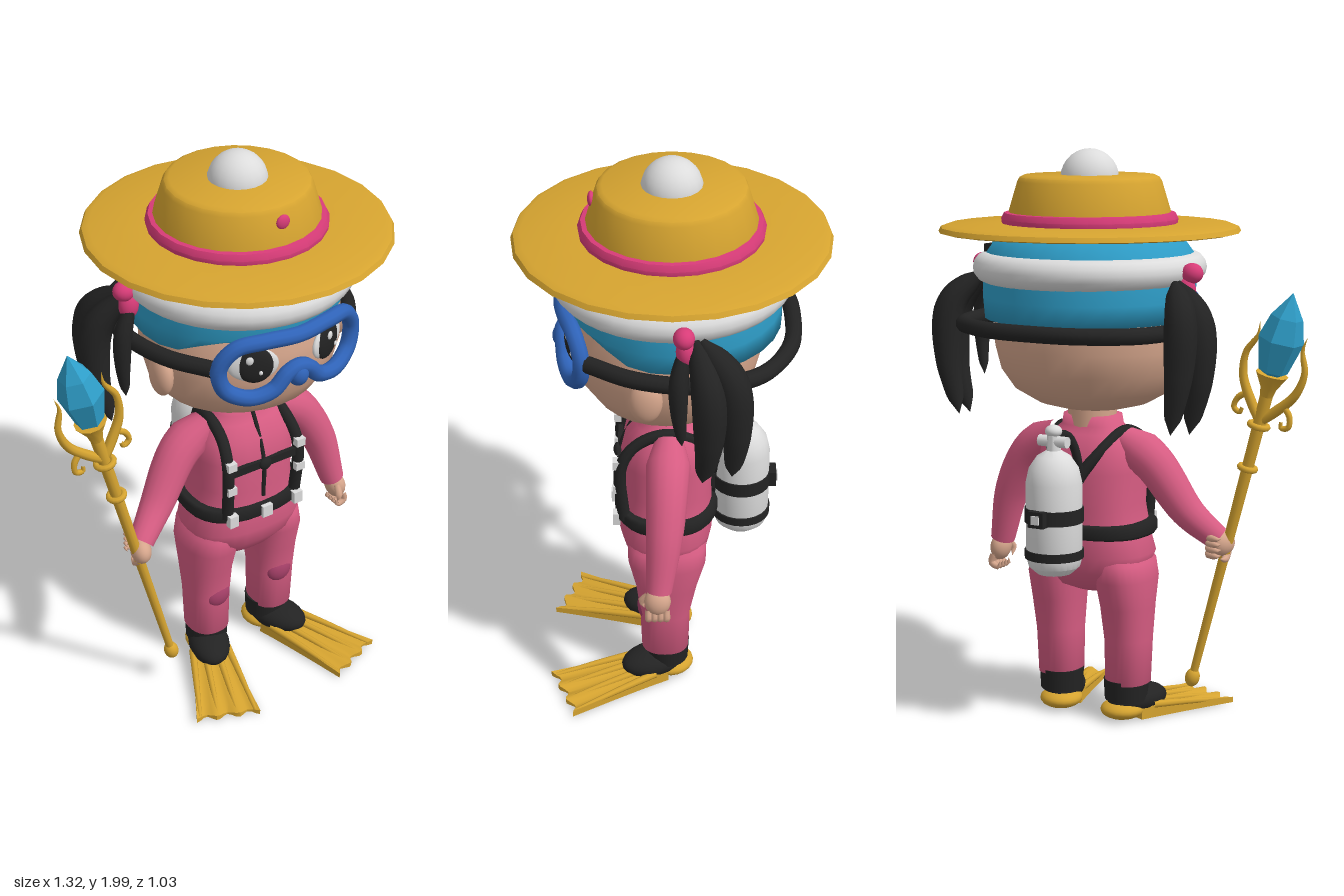
import * as THREE from 'three';
import { toCreasedNormals } from 'three/addons/utils/BufferGeometryUtils.js';

const V = (x, y, z) => new THREE.Vector3(x, y, z);
const mat = (name, color) => Object.assign(new THREE.MeshStandardMaterial({ color }), { name });

// Closed loft from rings [y, rx, rz, cx, cz], listed bottom to top; n squares the section
function loft(rings, n = 2, segs = 28) {
  const pos = [], idx = [];
  const all = [[rings[0][0], 0, 0, ...rings[0].slice(3)], ...rings, [rings.at(-1)[0], 0, 0, ...rings.at(-1).slice(3)]];
  const p = (v) => Math.sign(v) * Math.abs(v) ** (2 / n);
  all.forEach(([y, rx, rz, cx = 0, cz = 0], i) => {
    for (let j = 0; j < segs; j++) {
      const a = (j / segs) * Math.PI * 2;
      pos.push(cx + rx * p(Math.cos(a)), y, cz + rz * p(Math.sin(a)));
      if (i === all.length - 1) continue;
      const A = i * segs + j, B = i * segs + ((j + 1) % segs), C = A + segs, D = B + segs;
      idx.push(A, C, B, B, C, D);
    }
  });
  const g = new THREE.BufferGeometry();
  g.setAttribute('position', new THREE.Float32BufferAttribute(pos, 3));
  g.setIndex(idx);
  g.computeVertexNormals();
  return g;
}

// Tube whose radius follows a list along the path
function sweep(points, radii, segs = 24, sides = 12, closed = false) {
  const path = new THREE.CatmullRomCurve3(points, closed);
  const g = new THREE.TubeGeometry(path, segs, 1, sides, closed);
  const at = g.attributes.position, v = new THREE.Vector3();
  for (let i = 0; i < at.count; i++) {
    const t = Math.floor(i / (sides + 1)) / segs, c = path.getPointAt(t);
    const f = t * (radii.length - 1), k = Math.min(Math.floor(f), Math.max(radii.length - 2, 0));
    const r = THREE.MathUtils.lerp(radii[k], radii[k + 1] ?? radii[k], f - k);
    v.fromBufferAttribute(at, i).sub(c).multiplyScalar(r).add(c);
    at.setXYZ(i, v.x, v.y, v.z);
  }
  return g;
}

const lathe = (pts, segs = 24) =>
  toCreasedNormals(new THREE.LatheGeometry(pts.map((p) => new THREE.Vector2(...p)), segs), 0.6);

export function createModel() {
  const gold = mat('gold', 0xd6a430), pink = mat('suit pink', 0xd65c82), hot = mat('bright pink', 0xd83c78);
  const plum = mat('dark pink', 0xa8416a), cyan = mat('cyan', 0x2f9fca), white = mat('white', 0xdcdcdc);
  const blue = mat('blue', 0x2f63b8), black = mat('black', 0x232323), skin = mat('skin', 0xd6a68c);

  const model = new THREE.Group(), body = new THREE.Group();
  body.name = 'diver';
  body.position.x = 0.117;
  model.add(body);
  const add = (name, geo, m, pos = [0, 0, 0], parent = body) => {
    const mesh = new THREE.Mesh(geo, m);
    mesh.name = name;
    mesh.position.set(...pos);
    parent.add(mesh);
    return mesh;
  };
  const ball = (name, m, pos, r, parent) => {
    const b = add(name, new THREE.SphereGeometry(1, 20, 14), m, pos, parent);
    b.scale.set(...r);
    return b;
  };
  const box = (name, m, pos, size, parent) => add(name, new THREE.BoxGeometry(...size), m, pos, parent);

  // Hat
  add('strawHat', lathe([[0, 1.725], [0.3, 1.725], [0.5, 1.718], [0.516, 1.722], [0.508, 1.738], [0.485, 1.747],
    [0.28, 1.75], [0.276, 1.79], [0.246, 1.89], [0.238, 1.904], [0.222, 1.912], [0, 1.912]]), gold);
  add('hatBand', lathe([[0.27, 1.747], [0.3, 1.75], [0.302, 1.765], [0.292, 1.785], [0.27, 1.787]]), hot);
  ball('hatPompom', white, [0, 1.9, 0], [0.1, 0.1, 0.1]);
  ball('hatButton', hot, [0, 1.86, 0.256], [0.025, 0.025, 0.012]);

  // Head and cap
  add('head', loft([[1.115, 0.12, 0.11, 0, 0.02], [1.135, 0.2, 0.18, 0, 0.02], [1.18, 0.28, 0.25, 0, 0.02],
    [1.25, 0.33, 0.295, 0, 0.02], [1.33, 0.35, 0.315, 0, 0.02], [1.42, 0.352, 0.318, 0, 0.02],
    [1.5, 0.34, 0.3, 0, 0.01], [1.6, 0.32, 0.28, 0, 0]]), skin);
  const cap = loft([[1.43, 0.358, 0.35, 0, -0.01], [1.5, 0.368, 0.352, 0, -0.008], [1.58, 0.37, 0.36],
    [1.65, 0.36, 0.35], [1.73, 0.3, 0.3]]);
  const cp = cap.attributes.position;
  for (let i = 0; i < cp.count; i++) {
    if (cp.getY(i) < 1.46) cp.setY(i, cp.getY(i) + 0.065 * THREE.MathUtils.smoothstep(cp.getZ(i), 0.1, 0.28));
  }
  cap.computeVertexNormals();
  add('cap', cap, cyan);
  add('capTrim', new THREE.TorusGeometry(0.348, 0.052, 14, 40), white, [0, 1.602, 0]).rotation.x = Math.PI / 2;
  box('capClip', black, [0.28, 1.665, -0.175], [0.04, 0.03, 0.05]);
  add('neck', new THREE.CylinderGeometry(0.085, 0.085, 0.12, 20), skin, [0, 1.1, 0.015]);

  // Goggles
  const half = [[0.12, 1.505], [0.215, 1.49], [0.262, 1.42], [0.245, 1.34], [0.17, 1.3], [0.09, 1.315], [0.04, 1.365]];
  const rim = [[0, 1.5], ...half, [0, 1.38], ...half.map(([x, y]) => [-x, y]).reverse()];
  add('goggleFrame', sweep(rim.map(([x, y]) => V(x, y, 0.358 - x * x)), [0.028], 96, 10, true), blue);
  ball('goggleNose', blue, [0, 1.352, 0.36], [0.036, 0.042, 0.035]);
  const side = [[0.27, 0.27], [0.36, 0.12], [0.395, -0.08], [0.34, -0.27], [0.18, -0.375]];
  add('goggleStrap', sweep([...side, [0, -0.397], ...side.map(([x, z]) => [-x, z]).reverse()]
    .map(([x, z]) => V(x, 1.412, z)), [0.028], 64, 10), black);

  for (const s of [1, -1]) {
    // Face side parts
    ball('ear', skin, [s * 0.352, 1.325, 0.085], [0.035, 0.078, 0.055]);
    const eye = new THREE.Group();
    eye.name = 'eye';
    eye.position.set(s * 0.145, 1.41, 0.312);
    eye.rotation.y = s * 0.42;
    body.add(eye);
    ball('eyeWhite', white, [0, 0, 0], [0.085, 0.062, 0.018], eye);
    ball('pupil', black, [-s * 0.006, 0, 0.006], [0.062, 0.065, 0.018], eye);
    ball('eyeGlint', white, [-0.015, 0.028, 0.022], [0.013, 0.015, 0.006], eye);
    ball('eyeGlint', white, [0.022, -0.02, 0.022], [0.007, 0.008, 0.006], eye);

    // Pigtails
    const lock = [0.012, 0.038, 0.05, 0.056, 0.056, 0.052, 0.046, 0.038, 0.03, 0];
    const locks = [
      [V(s * 0.38, 1.57, -0.07), V(s * 0.475, 1.45, -0.11), V(s * 0.485, 1.27, -0.115), V(s * 0.44, 1.07, -0.095)],
      [V(s * 0.38, 1.57, -0.09), V(s * 0.45, 1.47, -0.18), V(s * 0.455, 1.28, -0.2), V(s * 0.42, 1.08, -0.19)],
      [V(s * 0.38, 1.56, -0.04), V(s * 0.43, 1.45, -0.02), V(s * 0.435, 1.33, -0.02), V(s * 0.42, 1.2, -0.03)]];
    locks.forEach((pts, i) => add('hairLock', sweep(pts, lock.map((r) => r * (i === 2 ? 0.55 : 1)), 30), black));
    ball('hairTie', hot, [s * 0.415, 1.6, -0.035], [0.038, 0.034, 0.034]);
    ball('hairTie', hot, [s * 0.395, 1.54, -0.04], [0.035, 0.05, 0.03]);

    // Legs
    add('leg', loft([[0.14, 0.076, 0.083, s * 0.138, 0.025], [0.3, 0.081, 0.088, s * 0.14, 0.025],
      [0.42, 0.088, 0.108, s * 0.14, 0.02], [0.52, 0.096, 0.135, s * 0.137, 0.018],
      [0.58, 0.092, 0.135, s * 0.13, 0.018], [0.63, 0.05, 0.1, s * 0.12, 0.018]], 2.3), pink);
    ball('kneePad', plum, [s * 0.135, 0.31, 0.09], [0.052, 0.055, 0.033]);

    // Boot and swim fin
    const foot = new THREE.Group();
    foot.name = 'foot';
    foot.position.set(s * 0.13, 0, 0.01);
    foot.rotation.y = s * 0.38;
    body.add(foot);
    add('bootCuff', new THREE.CylinderGeometry(0.08, 0.076, 0.075, 20), black, [0, 0.115, 0.01], foot);
    ball('boot', black, [0, 0.07, 0.06], [0.075, 0.052, 0.12], foot);
    ball('finHeel', gold, [0, 0.042, -0.005], [0.076, 0.036, 0.082], foot);
    const fin = new THREE.BoxGeometry(1, 1, 1, 16, 1, 8), fp = fin.attributes.position;
    for (let i = 0; i < fp.count; i++) {
      const t = fp.getZ(i) + 0.5, u = fp.getX(i);
      const top = THREE.MathUtils.lerp(0.055, 0.022, t) - 0.006 * t * Math.cos(u * Math.PI * 6);
      fp.setXYZ(i, u * THREE.MathUtils.lerp(0.13, 0.23, t ** 1.2), fp.getY(i) > 0 ? top : 0.008,
        0.03 + t * (0.37 - 0.012 * Math.cos(u * Math.PI * 6)));
    }
    add('finBlade', toCreasedNormals(fin, 0.6), gold, [0, 0, 0], foot);
    for (const u of [-0.46, -0.16, 0.16, 0.46]) {
      add('finRib', sweep([V(u * 0.14, 0.055, 0.08), V(u * 0.18, 0.04, 0.24), V(u * 0.22, 0.02, 0.4)],
        [0.014, 0.011, 0.007], 8, 8), gold, [0, 0, 0], foot);
    }

    // Arms
    const arm = s > 0
      ? [V(0.13, 1.01, 0.01), V(0.245, 0.94, 0.015), V(0.34, 0.79, 0.025), V(0.4, 0.59, 0.045)]
      : [V(-0.13, 1.01, 0.01), V(-0.24, 0.94, 0.015), V(-0.36, 0.77, 0.05), V(-0.45, 0.68, 0.095)];
    add('arm', sweep(arm, [0.05, 0.074, 0.07, 0.066, 0.06, 0.052, 0.044], 24, 16), pink);

    // Harness strap over the shoulder, meeting at the back
    add('shoulderStrap', sweep([V(s * 0.14, 0.7, 0.165), V(s * 0.145, 0.92, 0.172), V(s * 0.135, 1.0, 0.12),
      V(s * 0.125, 1.037, 0.02), V(s * 0.1, 0.985, -0.09), V(s * 0.03, 0.86, -0.155), V(s * 0.008, 0.7, -0.155)],
    [0.021], 48, 8), black);
    for (const y of [0.93, 0.83]) box('strapBuckle', white, [s * 0.142, y, 0.188], [0.035, 0.03, 0.025]);
    box('beltBuckle', white, [s * 0.135, 0.7, 0.19], [0.035, 0.045, 0.025]);
  }

  // Torso
  add('torso', loft([[0.465, 0.06, 0.05, 0, 0.02], [0.49, 0.13, 0.105, 0, 0.02], [0.55, 0.2, 0.15, 0, 0.02],
    [0.61, 0.222, 0.163, 0, 0.022], [0.68, 0.2, 0.16, 0, 0.02], [0.78, 0.182, 0.155, 0, 0.018],
    [0.9, 0.19, 0.158, 0, 0.018], [0.98, 0.182, 0.14, 0, 0.018], [1.03, 0.14, 0.105, 0, 0.018],
    [1.055, 0.108, 0.085, 0, 0.018], [1.09, 0.102, 0.08, 0, 0.018]], 2.5), pink);
  add('belt', loft([[0.675, 0.218, 0.172, 0, 0.02], [0.685, 0.224, 0.18, 0, 0.02],
    [0.715, 0.224, 0.18, 0, 0.02], [0.725, 0.214, 0.172, 0, 0.02]], 2.5), black);
  box('beltBuckle', white, [0, 0.7, 0.2], [0.04, 0.045, 0.02]);
  add('zip', sweep([V(0, 1.07, 0.1), V(0, 1.01, 0.135), V(0, 0.9, 0.178), V(0, 0.75, 0.178)], [0.008], 16, 6), black);
  box('chestStrap', black, [0, 0.89, 0.178], [0.28, 0.03, 0.016]);
  ball('chestClip', black, [0, 0.89, 0.187], [0.024, 0.024, 0.014]);

  // Air tank
  const tank = new THREE.Group();
  tank.name = 'airTank';
  tank.position.set(0, 0, -0.24);
  body.add(tank);
  add('cylinder', lathe([[0, 0.57], [0.06, 0.575], [0.088, 0.6], [0.096, 0.63], [0.096, 0.89], [0.085, 0.94],
    [0.058, 0.98], [0.025, 1.0], [0.022, 1.06], [0, 1.06]]), white, [0, 0, 0], tank);
  for (const [y, h] of [[0.78, 0.05], [0.645, 0.03]]) {
    add('tankBand', new THREE.CylinderGeometry(0.101, 0.101, h, 24), black, [0, y, 0], tank);
  }
  box('tankClasp', black, [0, 0.78, -0.105], [0.06, 0.055, 0.03], tank);
  box('tankClaspPlate', white, [0, 0.78, -0.12], [0.03, 0.03, 0.01], tank);
  box('tankMount', black, [0, 0.78, 0.095], [0.08, 0.06, 0.04], tank);
  ball('valve', white, [0, 1.065, 0], [0.03, 0.022, 0.028], tank);
  add('valveKnob', new THREE.CylinderGeometry(0.02, 0.02, 0.11, 12), white, [0, 1.03, 0], tank).rotation.z = Math.PI / 2;
  add('airHose', sweep([V(0, 1.05, 0), V(-0.03, 1.045, 0.04), V(-0.05, 0.95, 0.075), V(-0.03, 0.84, 0.095)],
    [0.016], 20, 8), black, [0, 0, 0], tank);

  // Hands: one relaxed, one gripping
  const hand = (name, pos, rot, curl) => {
    const h = new THREE.Group();
    h.name = name;
    h.position.set(...pos);
    h.rotation.set(...rot);
    body.add(h);
    ball('palm', skin, [0, 0, 0], [0.036, 0.05, 0.045], h);
    for (let i = 0; i < 4; i++) {
      const z = -0.03 + i * 0.02;
      add('finger', sweep([V(0.01, -0.025, z), V(0.012, -0.06, z), V(-curl, -0.068, z), V(-curl, -0.045, z)],
        [0.012, 0.013, 0.012, 0], 10, 8), skin, [0, 0, 0], h);
    }
    add('thumb', sweep([V(-0.01, 0.02, 0.03), V(-0.02, -0.01, 0.052), V(-0.025, -0.04, 0.045)],
      [0.012, 0.014, 0], 8, 8), skin, [0, 0, 0], h);
  };
  hand('leftHand', [0.412, 0.555, 0.05], [0, 0, 0.15], 0.02);
  hand('rightHand', [-0.462, 0.66, 0.112], [Math.PI / 2, 0, 0.26], 0.035);

  // Staff
  const staff = new THREE.Group();
  staff.name = 'staff';
  staff.position.set(-0.23, 0.16, 0.115);
  staff.rotation.z = 0.26;
  model.add(staff);
  add('shaft', new THREE.CylinderGeometry(0.022, 0.014, 1.06, 12), gold, [0, 0.53, 0], staff);
  ball('staffFoot', gold, [0, 0, 0], [0.026, 0.034, 0.026], staff);
  for (const [y, r] of [[0.8, 0.026], [0.955, 0.03]]) {
    add('staffRing', new THREE.TorusGeometry(r, 0.011, 8, 16), gold, [0, y, 0], staff).rotation.x = Math.PI / 2;
  }
  add('gemCup', lathe([[0, 1.04], [0.02, 1.05], [0.028, 1.09], [0.056, 1.14], [0, 1.14]], 12), gold, [0, 0, 0], staff);
  for (const s of [1, -1]) {
    add('prong', sweep([V(0, 0.97, 0), V(s * 0.045, 1.02, 0), V(s * 0.1, 1.1, 0), V(s * 0.112, 1.18, 0),
      V(s * 0.085, 1.25, 0), V(s * 0.09, 1.3, 0)], [0.017, 0.018, 0.016, 0.013, 0.01, 0], 28, 8), gold, [0, 0, 0], staff);
    add('curl', sweep([V(s * 0.07, 1.05, 0), V(s * 0.1, 1.02, 0), V(s * 0.105, 0.985, 0), V(s * 0.08, 0.975, 0),
      V(s * 0.075, 0.995, 0)], [0.011, 0.011, 0.01, 0.01, 0.006], 20, 8), gold, [0, 0, 0], staff);
  }
  const gem = new THREE.LatheGeometry([[0, 1.12], [0.05, 1.15], [0.078, 1.26], [0.055, 1.34], [0, 1.425]]
    .map((p) => new THREE.Vector2(...p)), 6).toNonIndexed();
  gem.computeVertexNormals();
  add('gem', gem, cyan, [0, 0, 0], staff);

  return model;
}
